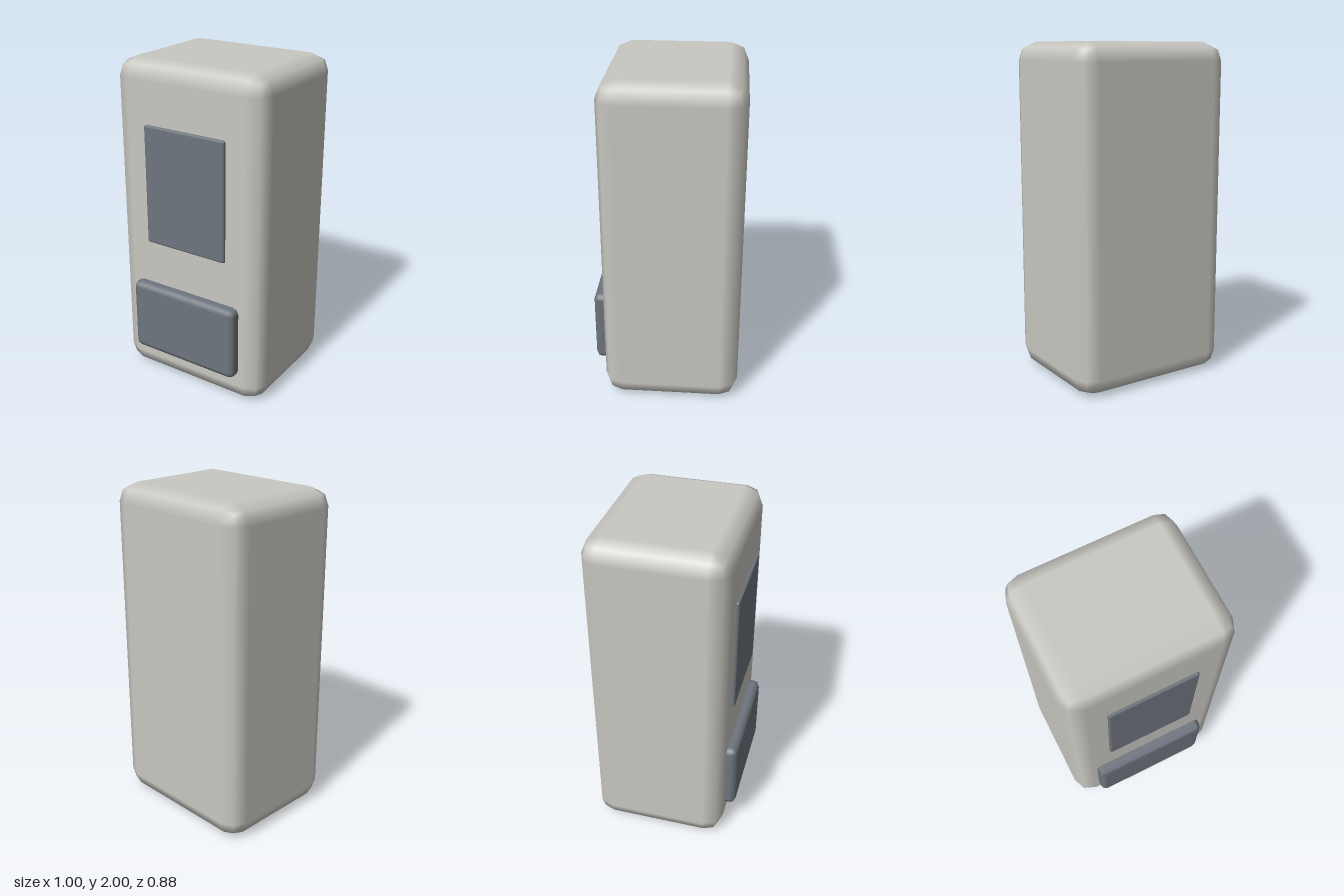
import * as THREE from 'three';
import { RoundedBoxGeometry } from 'three/addons/geometries/RoundedBoxGeometry.js';

const paleGrey = new THREE.MeshStandardMaterial({ color: 0xc8c7c1 });
const slateGrey = new THREE.MeshStandardMaterial({ color: 0x6e757d });
paleGrey.name = 'paleGrey';
slateGrey.name = 'slateGrey';

// Box with a two-step bevel, placed by its lower and upper corners
function bevelledBox(name, material, min, max, radius) {
  const size = max.map((v, i) => v - min[i]);
  const mesh = new THREE.Mesh(new RoundedBoxGeometry(...size, 1, radius), material);
  mesh.position.set(...max.map((v, i) => (v + min[i]) / 2));
  mesh.name = name;
  return mesh;
}

export function createModel() {
  const model = new THREE.Group();
  model.name = 'cabinet';
  model.add(
    // Upright housing
    bevelledBox('housing', paleGrey, [-0.5, 0, -0.44], [0.5, 2, 0.375], 0.11),
    // Thin upper panel, set into the front
    bevelledBox('screen', slateGrey, [-0.272, 0.912, 0.345], [0.272, 1.638, 0.393], 0.012),
    // Thicker lower panel
    bevelledBox('tray', slateGrey, [-0.363, 0.185, 0.3], [0.363, 0.64, 0.44], 0.036)
  );
  return model;
}
